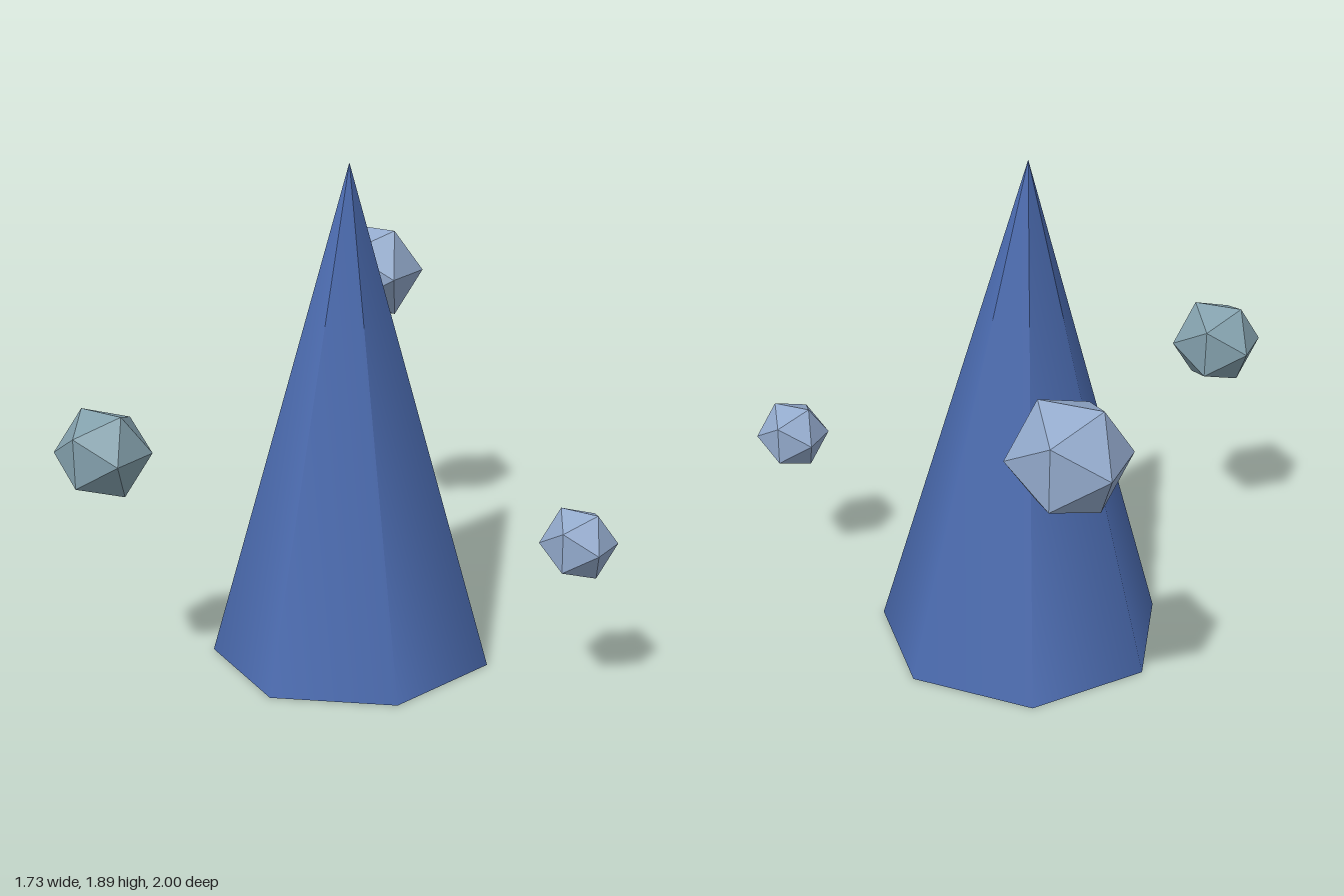
import * as THREE from 'three';

export function createModel() {
  const group = new THREE.Group();

  const add = (name, geometry, color, position, flatShading) => {
    const material = new THREE.MeshStandardMaterial({ color, flatShading });
    const mesh = new THREE.Mesh(geometry, material);
    mesh.name = name;
    mesh.position.set(...position);
    group.add(mesh);
  };

  // Seven-sided spire with smooth sides, one corner facing the front
  const height = 1.89;
  add('spire', new THREE.ConeGeometry(0.544, height, 7), 0x4a6aae, [-0.218, height / 2, 0.02], false);

  // Faceted rocks floating around the spire: name, radius, colour, centre
  const rocks = [
    ['largeRock', 0.208, 0x93aacc, [-0.69, 1.255, -0.823]],
    ['mediumRock', 0.174, 0x83a0ac, [-0.703, 0.947, 0.852]],
    ['smallRock', 0.139, 0x93aacc, [0.745, 0.642, 0.018]],
  ];
  for (const [name, radius, color, centre] of rocks) {
    add(name, new THREE.IcosahedronGeometry(radius, 0), color, centre, true);
  }

  return group;
}
